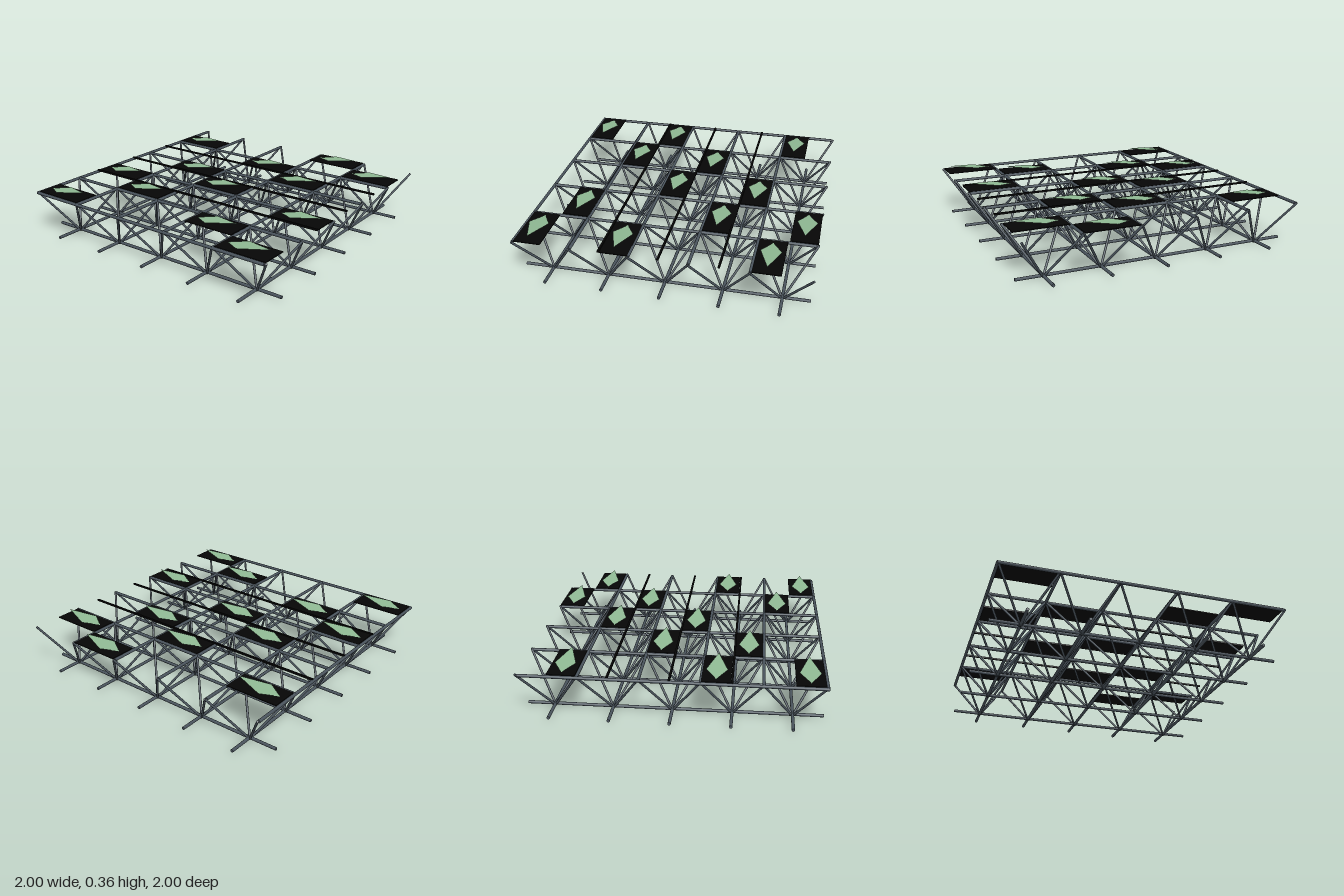
import * as THREE from 'three';

const PITCH = 0.3965;     // bay size of the space frame
const START = -0.985;     // first top node in x and z
const BAYS = 5;
const TOP_Y = 0.319;
const LOW_Y = 0.02;

export function createModel() {
  const model = new THREE.Group();
  const steel = new THREE.MeshStandardMaterial({ color: 0x4a545d });
  steel.name = 'steel';
  const black = new THREE.MeshStandardMaterial({ color: 0x060606 });
  black.name = 'panelBlack';
  const green = new THREE.MeshStandardMaterial({ color: 0x8fb993, side: THREE.DoubleSide });
  green.name = 'leafGreen';

  const UP = new THREE.Vector3(0, 1, 0);
  const node = (k) => START + PITCH * k;

  // round bar between two points
  function bar(name, a, b, radius) {
    const from = new THREE.Vector3(...a);
    const dir = new THREE.Vector3(...b).sub(from);
    const mesh = new THREE.Mesh(new THREE.CylinderGeometry(radius, radius, dir.length(), 10), steel);
    mesh.name = name;
    mesh.position.copy(from).addScaledVector(dir, 0.5);
    mesh.quaternion.setFromUnitVectors(UP, dir.normalize());
    model.add(mesh);
  }

  function box(name, w, h, d, x, y, z) {
    const mesh = new THREE.Mesh(new THREE.BoxGeometry(w, h, d), black);
    mesh.name = name;
    mesh.position.set(x, y, z);
    model.add(mesh);
  }

  // chords in both directions; the lower layer is shifted by half a bay
  const e0 = -0.99, e1 = 0.985;
  for (let k = 0; k < BAYS; k++) {
    const t = node(k), l = node(k + 0.5);
    bar('topChordX', [e0, TOP_Y, t], [e1, TOP_Y, t], 0.011);
    bar('topChordZ', [t, TOP_Y, e0], [t, TOP_Y, e1], 0.011);
    bar('bottomChordX', [e0, LOW_Y, l], [e1, LOW_Y, l], 0.011);
    bar('bottomChordZ', [l, LOW_Y, e0], [l, LOW_Y, e1], 0.011);
  }

  // four web bars rise from every lower node
  for (let i = 0; i < BAYS; i++) {
    for (let j = 0; j < BAYS; j++) {
      for (const di of [0, 1]) {
        for (const dj of [0, 1]) {
          bar('webDiagonal', [node(i + 0.5), 0.009, node(j + 0.5)],
            [node(i + di), 0.325, node(j + dj)], 0.008);
        }
      }
    }
  }

  // thin purlins between the upper chords
  for (const k of [1.5, 2.5, 3.5]) box('purlin', 0.014, 0.012, 1.97, node(k), 0.33, 0);

  // tilted kite-shaped leaf, raised toward the front
  const kite = new THREE.BufferGeometry();
  kite.setAttribute('position', new THREE.Float32BufferAttribute([
    0, 0, -0.155, -0.07, 0.012, -0.04, 0, 0.033, 0.165, 0.07, 0.012, -0.04,
  ], 3));
  kite.setIndex([0, 1, 2, 0, 2, 3]);
  kite.computeVertexNormals();

  // roof panels: filled columns in each row, back to front
  const rows = [[0, 3, 8], [2, 5], [4, 7], [1, 6, 9], [0, 3, 8]];
  rows.forEach((columns, r) => {
    const z = node(r + 0.5);
    for (const c of columns) {
      const x = START + PITCH / 2 * (c + 0.5) + 0.003;
      box('roofPanel', 0.188, 0.006, 0.378, x, 0.328, z);
      const leaf = new THREE.Mesh(kite, green);
      leaf.name = 'kiteLeaf';
      leaf.position.set(x, 0.334, z);
      model.add(leaf);
    }
  });

  return model;
}
